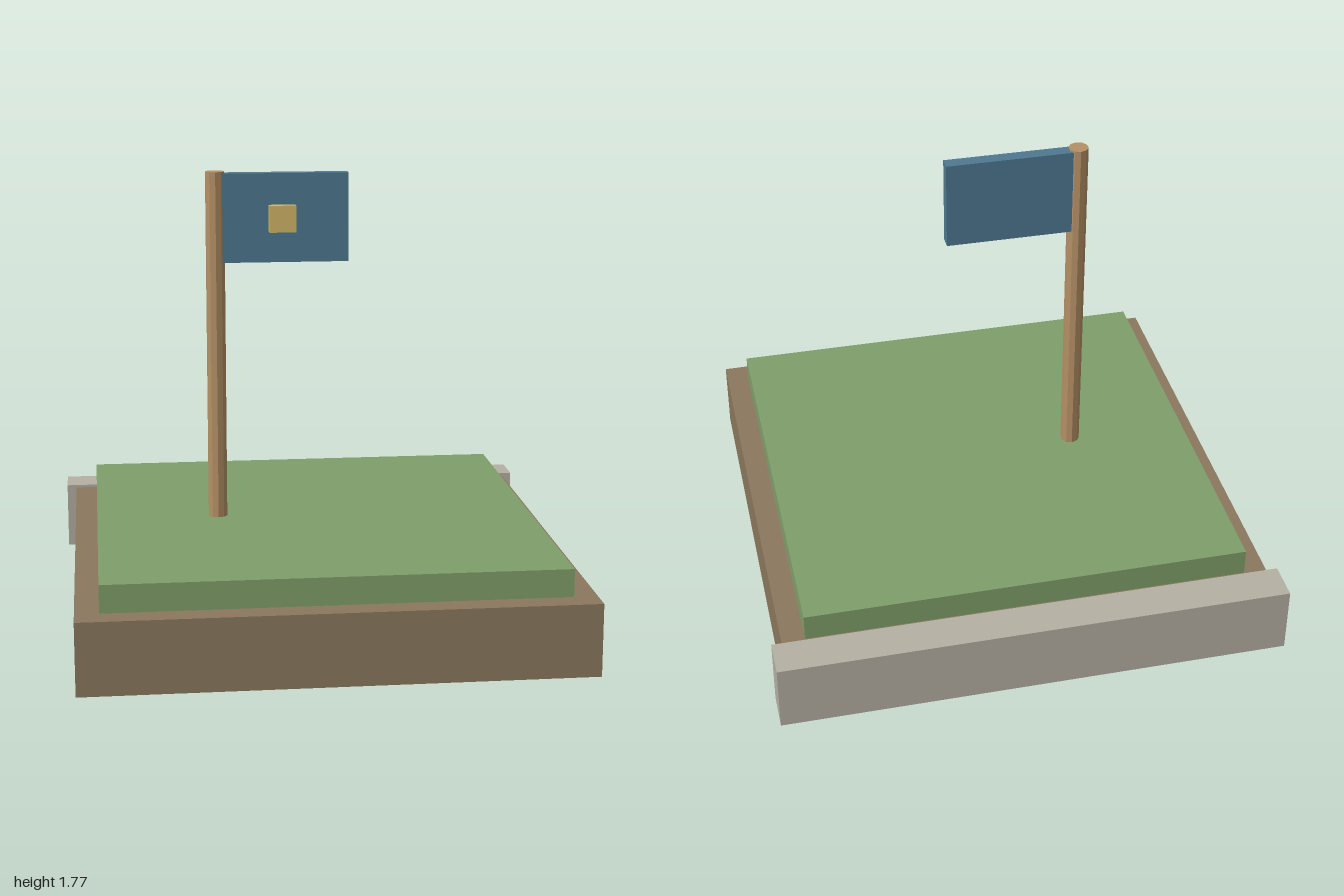
import * as THREE from 'three';

const mat = (color) => new THREE.MeshStandardMaterial({ color, flatShading: true });

export function createModel() {
  const group = new THREE.Group();

  // Box given by its extents along each axis
  const box = (name, color, [x0, x1], [y0, y1], [z0, z1]) => {
    const mesh = new THREE.Mesh(new THREE.BoxGeometry(x1 - x0, y1 - y0, z1 - z0), mat(color));
    mesh.position.set((x0 + x1) / 2, (y0 + y1) / 2, (z0 + z1) / 2);
    mesh.name = name;
    group.add(mesh);
  };

  // Ground tile
  box('soilBase', 0x8b785d, [-0.96, 0.96], [0, 0.28], [-0.92, 1]);
  box('grass', 0x7f9f6a, [-0.87, 0.87], [0.27, 0.387], [-0.832, 0.908]);
  box('backWall', 0xb5b0a3, [-1, 1], [0.017, 0.291], [-1, -0.848]);

  // Flagpole
  const pole = new THREE.Mesh(new THREE.CylinderGeometry(0.0385, 0.0385, 1.41, 10), mat(0xb59065));
  pole.position.set(-0.386, 1.065, 0.037);
  pole.name = 'flagpole';
  group.add(pole);

  // Flag with raised square emblem
  box('flag', 0x4e7890, [-0.362, 0.136], [1.414, 1.763], [0.01, 0.062]);
  box('emblem', 0xd4b86a, [-0.178, -0.073], [1.535, 1.64], [0.055, 0.099]);

  return group;
}
